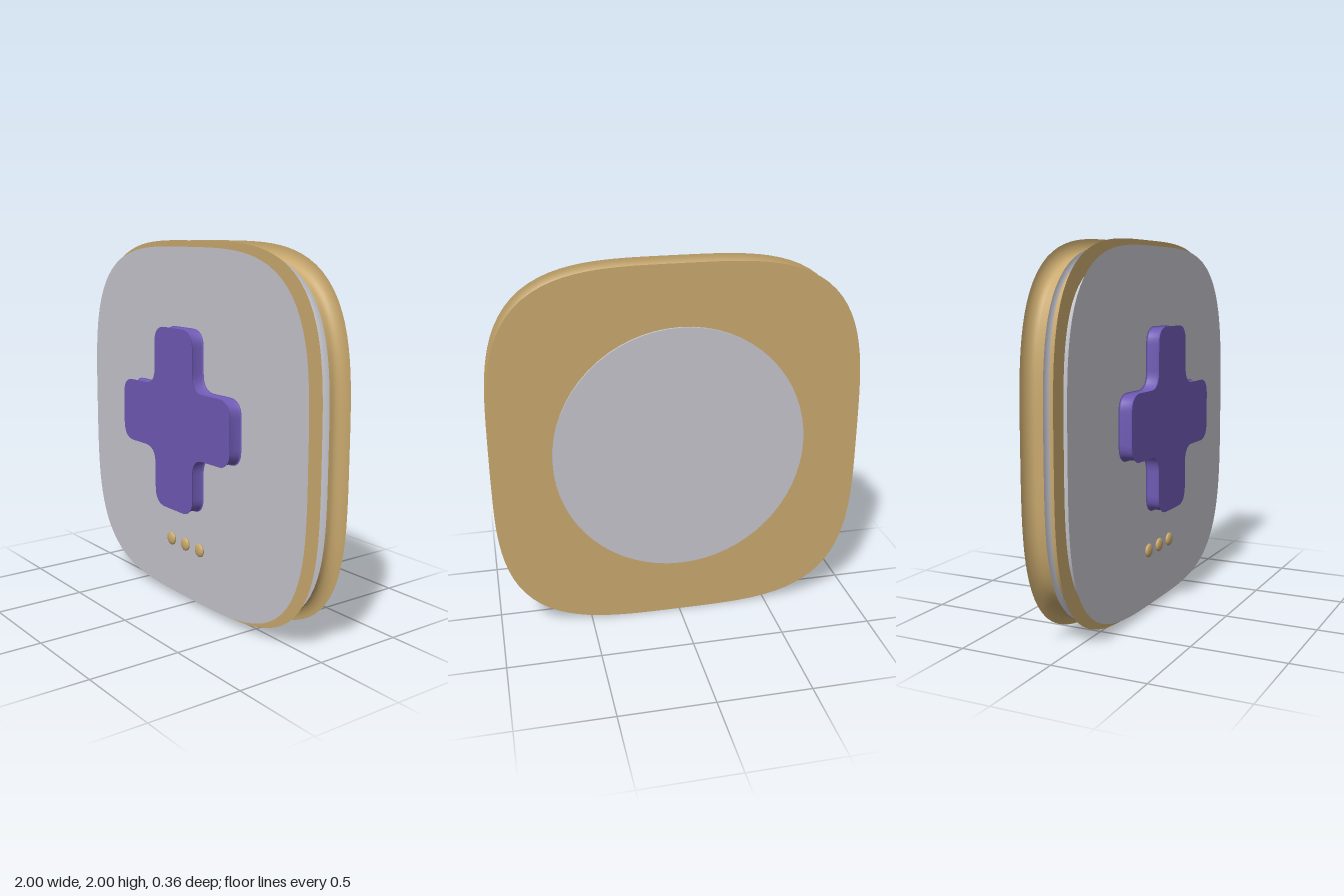
import * as THREE from 'three';
import { toCreasedNormals } from 'three/addons/utils/BufferGeometryUtils.js';

const gold = new THREE.MeshStandardMaterial({ name: 'gold', color: 0xc9a96e });
const silver = new THREE.MeshStandardMaterial({ name: 'silver', color: 0xc4c4cc });
const purple = new THREE.MeshStandardMaterial({ name: 'purple', color: 0x6f5ab4 });

// Rounded square outline (superellipse) with the given half width
function squircle(half, n = 3.6, count = 128) {
  const points = [];
  for (let i = 0; i < count; i++) {
    const a = (i / count) * Math.PI * 2;
    const c = Math.cos(a), s = Math.sin(a);
    const r = half * Math.pow(Math.abs(c) ** n + Math.abs(s) ** n, -1 / n);
    points.push(new THREE.Vector2(r * c, r * s));
  }
  return new THREE.Shape(points);
}

// Plus outline with rounded tips and filleted inner corners
function plus(reach, arm, round) {
  const corners = [];
  for (let q = 0; q < 4; q++) {
    for (const [x, y] of [[reach, -arm], [reach, arm], [arm, arm]]) {
      corners.push(new THREE.Vector2(x, y).rotateAround(new THREE.Vector2(), q * Math.PI / 2));
    }
  }
  const shape = new THREE.Shape();
  corners.forEach((p, i) => {
    const prev = corners[(i + 11) % 12], next = corners[(i + 1) % 12];
    const a = p.clone().add(prev.clone().sub(p).setLength(round));
    const b = p.clone().add(next.clone().sub(p).setLength(round));
    if (i === 0) shape.moveTo(a.x, a.y);
    else shape.lineTo(a.x, a.y);
    shape.quadraticCurveTo(p.x, p.y, b.x, b.y);
  });
  shape.closePath();
  return shape;
}

// Plate between two depths, its rim hollowed inward between sharp lips
function hollowPlate(name, shape, back, front, lip, hollow, material) {
  const geometry = new THREE.ExtrudeGeometry(shape, {
    depth: front - back - 2 * lip, curveSegments: 10,
    bevelEnabled: true, bevelThickness: lip, bevelSize: -hollow, bevelSegments: 8,
  });
  geometry.translate(0, 0, back + lip);
  const mesh = new THREE.Mesh(toCreasedNormals(geometry, 0.6), material);
  mesh.name = name;
  return mesh;
}

export function createModel() {
  const model = new THREE.Group();
  model.name = 'badge';

  // Case, and the face plate set into it (its back lip shows as a thin seam)
  const body = hollowPlate('case', squircle(1), -0.147, 0.031, 0.05, 0.07, gold);
  const face = hollowPlate('facePlate', squircle(0.968), -0.042, 0.085, 0.05, 0.06, silver);
  body.position.y = face.position.y = 1;
  model.add(body, face);

  // Raised plus on the front
  const cross = hollowPlate('plus', plus(0.495, 0.175, 0.095), 0.105, 0.18, 0.012, 0.01, purple);
  cross.position.y = 1.055;
  model.add(cross);

  // Row of three flattened studs
  for (const x of [-0.133, 0, 0.133]) {
    const stud = new THREE.Mesh(new THREE.SphereGeometry(0.037, 24, 16), gold);
    stud.name = 'stud';
    stud.scale.z = 0.4;
    stud.position.set(x, 0.35, 0.103);
    model.add(stud);
  }

  // Round disc behind the case
  const disc = new THREE.Mesh(new THREE.CylinderGeometry(0.68, 0.68, 0.013, 64), silver);
  disc.name = 'backDisc';
  disc.rotation.x = Math.PI / 2;
  disc.position.set(0, 1, -0.1735);
  model.add(disc);

  return model;
}
